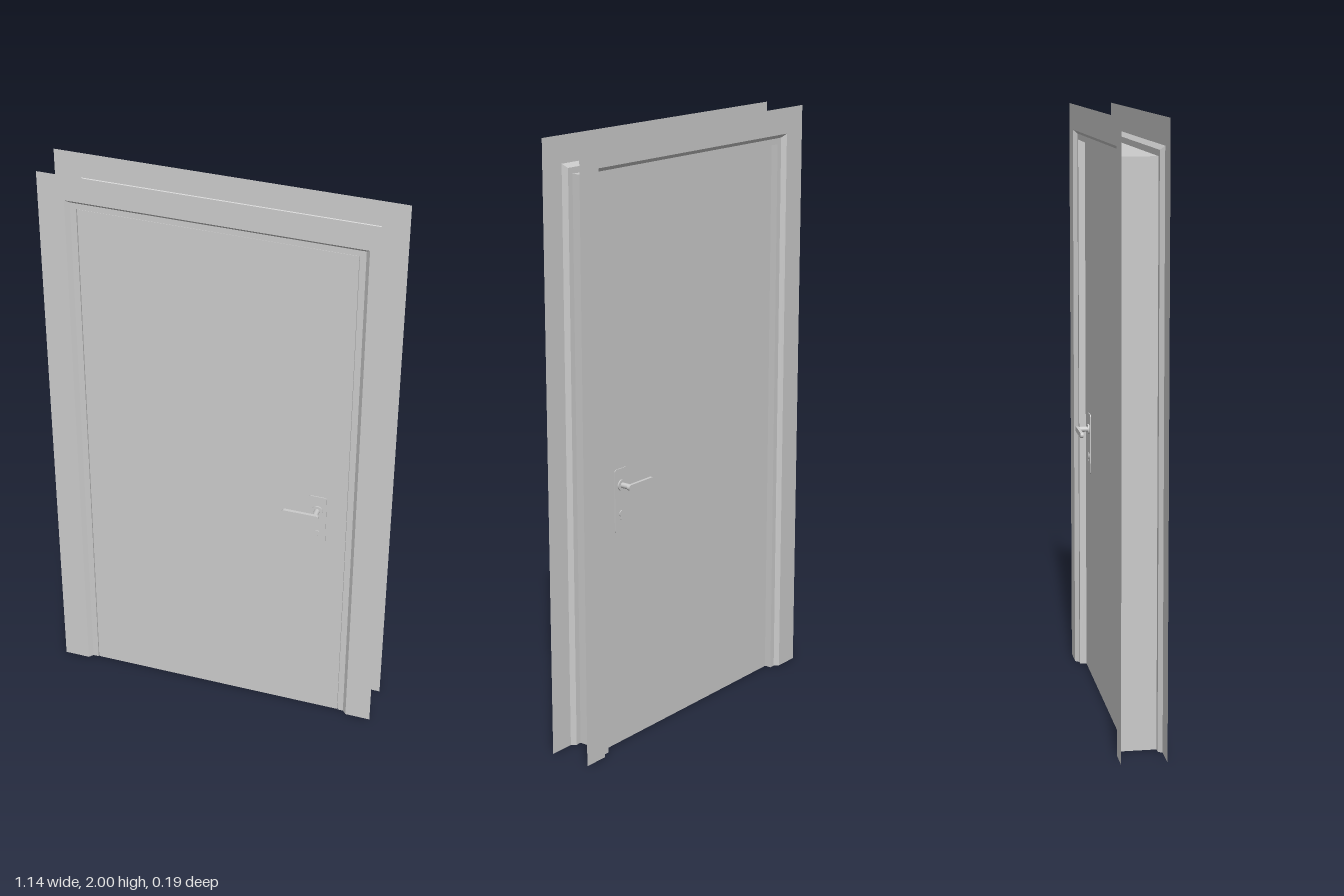
import * as THREE from 'three';

const grey = new THREE.MeshStandardMaterial({ color: 0xcccccc });
const sheet = new THREE.MeshStandardMaterial({ color: 0xcccccc, side: THREE.DoubleSide });

function add(parent, name, geometry, x = 0, y = 0, z = 0, material = grey) {
  const mesh = new THREE.Mesh(geometry, material);
  mesh.name = name;
  mesh.position.set(x, y, z);
  parent.add(mesh);
  return mesh;
}

// Sweeps a [half width, z] profile up one side, across the top and down the other with mitred corners
function frameGeometry(profile, topOffset) {
  const arch = ([w, z]) => [[-w, 0, z], [-w, w + topOffset, z], [w, w + topOffset, z], [w, 0, z]];
  const positions = [];
  for (let i = 0; i < profile.length - 1; i++) {
    const outer = arch(profile[i]), inner = arch(profile[i + 1]);
    for (let j = 0; j < 3; j++) {
      const a = outer[j], b = inner[j], c = inner[j + 1], d = outer[j + 1];
      positions.push(...a, ...b, ...c, ...a, ...c, ...d);
    }
  }
  const geometry = new THREE.BufferGeometry();
  geometry.setAttribute('position', new THREE.Float32BufferAttribute(positions, 3));
  geometry.computeVertexNormals();
  return geometry;
}

// Rounded rectangle extruded along +z, centred on x and y
function roundedSlab(w, h, r, depth) {
  const s = new THREE.Shape();
  const x = w / 2 - r, y = h / 2 - r;
  s.absarc(x, y, r, 0, Math.PI / 2);
  s.absarc(-x, y, r, Math.PI / 2, Math.PI);
  s.absarc(-x, -y, r, Math.PI, Math.PI * 1.5);
  s.absarc(x, -y, r, Math.PI * 1.5, Math.PI * 2);
  s.closePath();
  return new THREE.ExtrudeGeometry(s, { depth, bevelEnabled: false, curveSegments: 8 });
}

// Cylinder along +z starting at z = 0
function rod(r, length) {
  return new THREE.CylinderGeometry(r, r, length, 24).rotateX(Math.PI / 2).translate(0, 0, length / 2);
}

// Plate, lever and lock for one face; the door face is at local z = 0
function handleSet(name) {
  const set = new THREE.Group();
  set.name = name;
  add(set, 'escutcheonPlate', roundedSlab(0.06, 0.21, 0.008, 0.003), 0, -0.05, 0);
  add(set, 'handleCollar', rod(0.018, 0.008));
  add(set, 'handleStem', rod(0.009, 0.042));
  add(set, 'lever', roundedSlab(0.125, 0.018, 0.0085, 0.01), -0.048, 0, 0.038);
  // Lock cylinder with its narrow lower body
  add(set, 'lockCylinder', rod(0.011, 0.006), 0, -0.095, 0);
  add(set, 'lockBody', roundedSlab(0.009, 0.018, 0.004, 0.006), 0, -0.107, 0);
  add(set, 'keySlot', new THREE.BoxGeometry(0.002, 0.01, 0.002), 0, -0.095, 0.006);
  return set;
}

export function createModel() {
  const model = new THREE.Group();
  model.name = 'door';

  // Sheet frame: front casing, chamfer, rebate, lining, then the same to the back
  const profile = [
    [0.57, 0.063], [0.483, 0.063], [0.47, 0.049], [0.45, 0.049],
    [0.45, -0.07], [0.47, -0.07], [0.483, -0.084], [0.57, -0.084],
  ];
  add(model, 'frame', frameGeometry(profile, 1.43), 0, 0, 0, sheet);

  // Door leaf, nearly flush at the front and recessed at the back
  const front = 0.047, back = -0.047;
  add(model, 'doorLeaf', new THREE.BoxGeometry(0.896, 1.878, front - back), 0, 0.939, (front + back) / 2);

  // Handle sets mirrored through the leaf
  const frontHandle = handleSet('frontHandle');
  frontHandle.position.set(0.35, 0.885, front);
  const backHandle = handleSet('backHandle');
  backHandle.position.set(0.35, 0.885, back);
  backHandle.rotation.y = Math.PI;
  backHandle.getObjectByName('lever').position.x *= -1;
  model.add(frontHandle, backHandle);

  return model;
}
